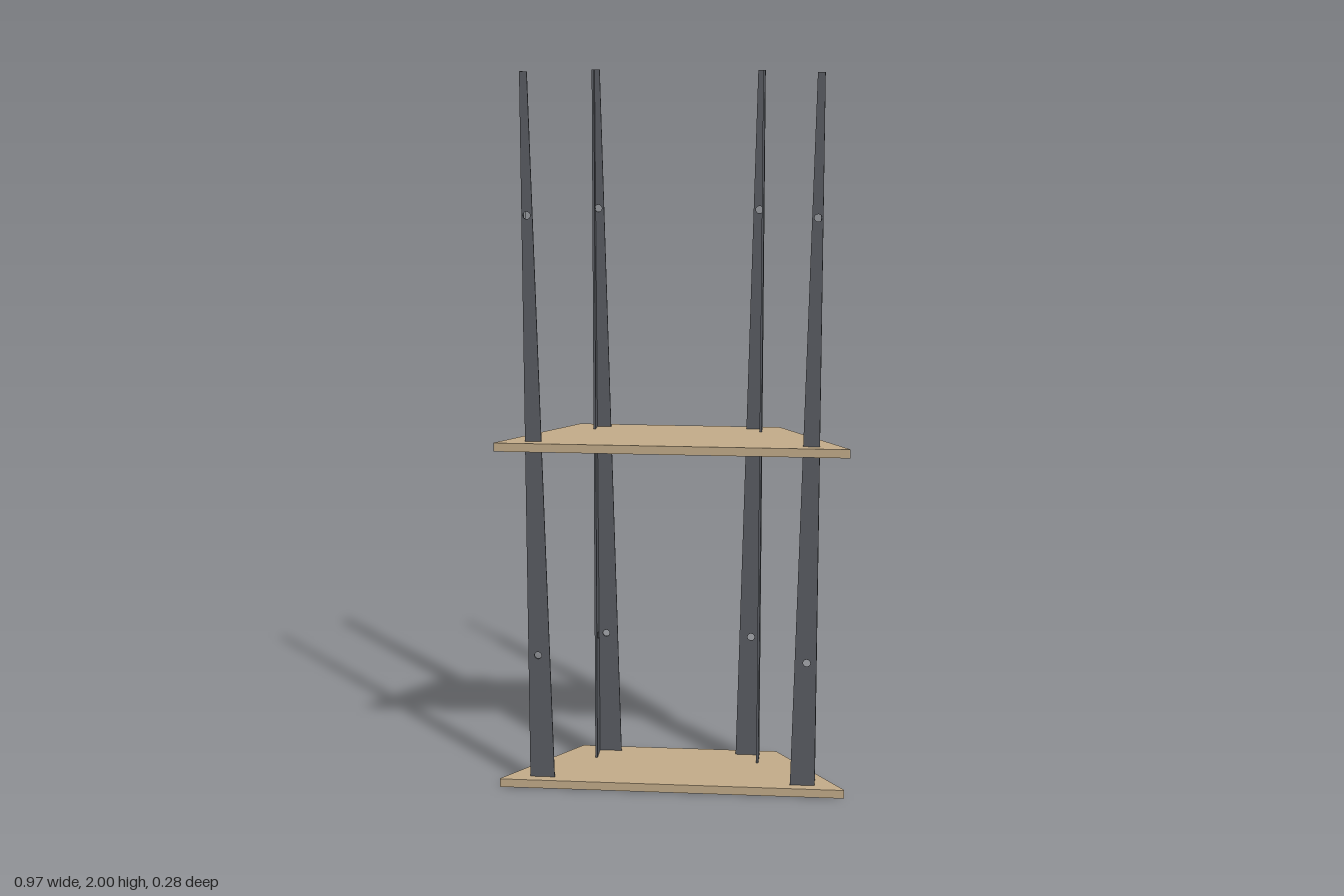
import * as THREE from 'three';

const H = 2;              // leg height
const T = 0.006;          // steel thickness
const W0 = 0.07, W1 = 0.02; // flange width at foot and tip
const BOARD = 0.024;      // shelf thickness
const flangeWidth = (y) => W0 + (W1 - W0) * (y / H);

// Outer corner of each angle-iron leg: [x, z, name]
const LEGS = [
  [0.404, 0.114, 'frontLeftLeg'],
  [-0.404, 0.114, 'frontRightLeg'],
  [0.238, -0.114, 'backLeftLeg'],
  [-0.238, -0.114, 'backRightLeg'],
];

// Tapered strip with two bolt holes, growing from start towards direction s
function flangeGeometry(s, start) {
  const shape = new THREE.Shape([
    new THREE.Vector2(s * start, 0),
    new THREE.Vector2(s * W0, 0),
    new THREE.Vector2(s * W1, H),
    new THREE.Vector2(s * start, H),
  ]);
  for (const [offset, y] of [[0.027, 0.385], [0.0135, 1.62]]) {
    const hole = new THREE.Path();
    hole.absarc(s * offset, y, 0.01, 0, Math.PI * 2, true);
    shape.holes.push(hole);
  }
  return new THREE.ExtrudeGeometry(shape, { depth: T, bevelEnabled: false, curveSegments: 10 });
}

function makeLeg([x, z, name], steel) {
  const leg = new THREE.Group();
  leg.name = name;
  const sx = -Math.sign(x), sz = -Math.sign(z); // inward directions

  // Flange running along x
  const wide = flangeGeometry(sx, 0);
  wide.translate(x, 0, sz > 0 ? z : z - T);
  const wideMesh = new THREE.Mesh(wide, steel);
  wideMesh.name = 'crossFlange';

  // Flange running along z
  const side = flangeGeometry(sz, T);
  side.rotateY(-Math.PI / 2);
  side.translate(sx > 0 ? x + T : x, 0, z);
  const sideMesh = new THREE.Mesh(side, steel);
  sideMesh.name = 'sideFlange';

  leg.add(wideMesh, sideMesh);
  return leg;
}

// Trapezoid shelf with rounded corners and L-shaped slots for the legs
function makeShelf(y, name, wood) {
  const corners = [[-0.49, -0.142], [0.49, -0.142], [0.286, 0.142], [-0.286, 0.142]]
    .map(([a, b]) => new THREE.Vector2(a, b));
  const shape = new THREE.Shape();
  corners.forEach((c, i) => {
    const toward = (o) => c.clone().add(o.clone().sub(c).setLength(0.007));
    const a = toward(corners[(i + 3) % 4]), b = toward(corners[(i + 1) % 4]);
    if (i === 0) shape.moveTo(a.x, a.y);
    else shape.lineTo(a.x, a.y);
    shape.quadraticCurveTo(c.x, c.y, b.x, b.y);
  });
  shape.closePath();

  const w = flangeWidth(y);
  for (const [x, z] of LEGS) {
    const sx = -Math.sign(x), sz = -Math.sign(z);
    const slot = [[0, 0], [w, 0], [w, T], [T, T], [T, w], [0, w]]
      .map(([a, b]) => new THREE.Vector2(x + sx * a, -(z + sz * b)));
    shape.holes.push(new THREE.Path(slot));
  }

  const geometry = new THREE.ExtrudeGeometry(shape, { depth: BOARD, bevelEnabled: false, curveSegments: 4 });
  geometry.rotateX(-Math.PI / 2);
  geometry.translate(0, y, 0);
  const mesh = new THREE.Mesh(geometry, wood);
  mesh.name = name;
  return mesh;
}

export function createModel() {
  const wood = new THREE.MeshStandardMaterial({ color: 0xc4ad8a });
  wood.name = 'wood';
  const steel = new THREE.MeshStandardMaterial({ color: 0x5a5d63 });
  steel.name = 'steel';

  const model = new THREE.Group();
  model.name = 'shelfUnit';
  model.add(makeShelf(0, 'lowerShelf', wood));
  model.add(makeShelf(1 - BOARD, 'upperShelf', wood));
  for (const leg of LEGS) model.add(makeLeg(leg, steel));
  return model;
}
